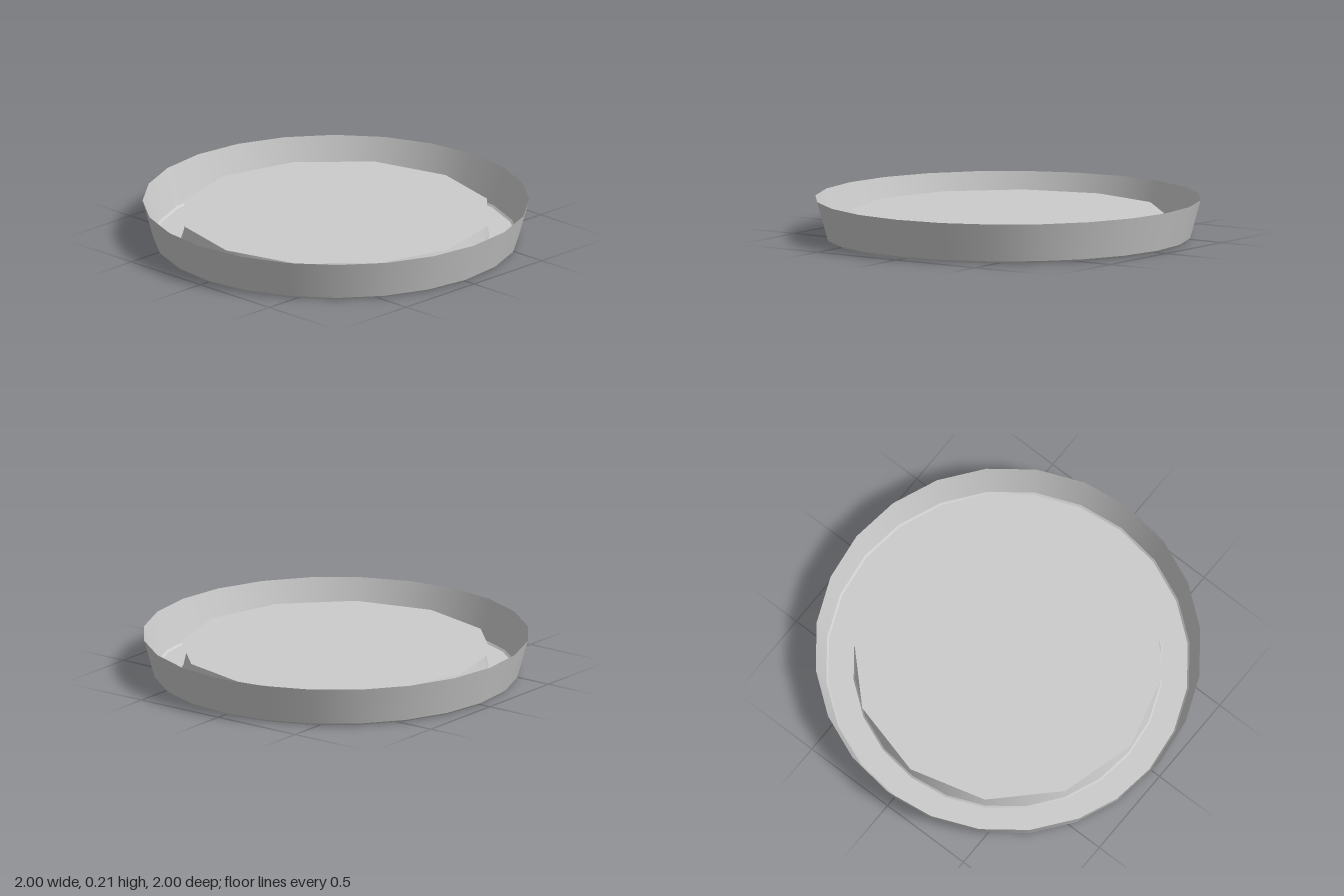
import * as THREE from 'three';

export function createModel() {
  const group = new THREE.Group();
  const material = new THREE.MeshStandardMaterial({ color: 0xcccccc, side: THREE.DoubleSide });

  const add = (name, geometry) => {
    const mesh = new THREE.Mesh(geometry, material);
    mesh.name = name;
    group.add(mesh);
    return mesh;
  };

  // One 24-sided band between two [radius, height] rings: smooth around, sharp at its edges
  const band = (name, from, to) =>
    add(name, new THREE.LatheGeometry([from, to].map(([r, y]) => new THREE.Vector2(r, y)), 24));

  // Thin pressed dish, from the rim inwards to the raised centre
  const rings = [[1, 0.21], [0.945, 0.01], [0.935, 0], [0.803, 0], [0.795, 0.01], [0.766, 0.14]];
  const names = ['outerWall', 'outerBevel', 'floorRing', 'innerBevel', 'innerWall'];
  names.forEach((name, i) => band(name, rings[i + 1], rings[i]));

  // Twelve-sided plate capping the raised centre
  const plate = add('centrePlate', new THREE.CircleGeometry(0.81, 12));
  plate.rotation.x = -Math.PI / 2;
  plate.position.y = 0.14;

  return group;
}
